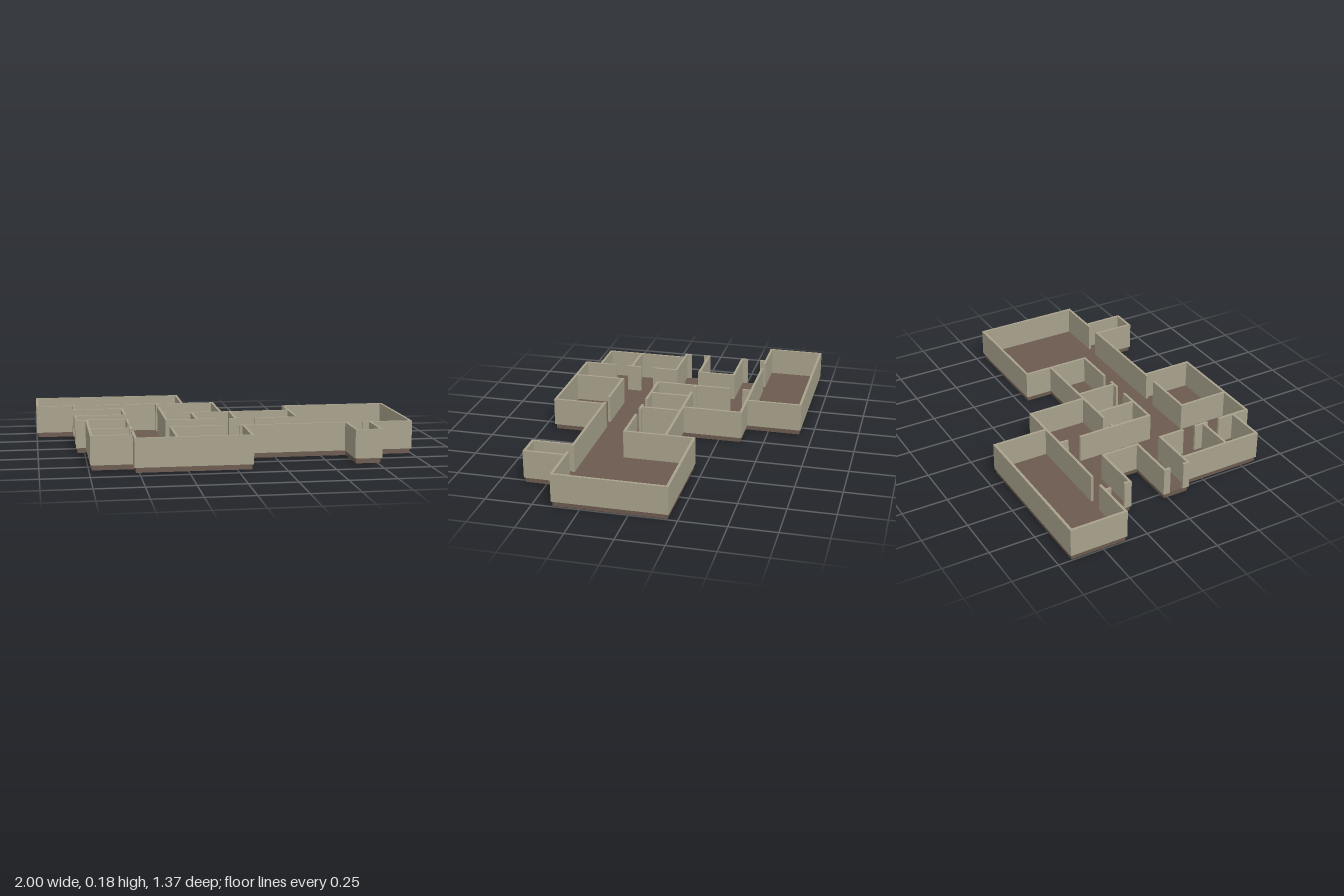
import * as THREE from 'three';

const FLOOR = 0.027, TOP = 0.18, T = 0.014;

// Outline of the floor slab as [x, z] corners
const outline = [
  [-0.993, -0.675], [-0.157, -0.675], [-0.157, -0.372], [0.021, -0.372], [0.021, -0.045],
  [0.411, -0.045], [0.411, -0.198], [0.993, -0.198], [0.993, 0.393], [0.768, 0.393],
  [0.768, 0.615], [0.637, 0.615], [0.637, 0.393], [0.078, 0.393], [0.078, 0.676],
  [-0.518, 0.676], [-0.518, 0.586], [-0.735, 0.586], [-0.735, 0.121], [-0.788, 0.121],
  [-0.788, -0.02], [-0.518, -0.02], [-0.518, -0.227], [-0.788, -0.227], [-0.788, -0.372],
  [-0.993, -0.372],
];

// Walls along x: z, start, end, then doorways as [start, end]
const wallsAlongX = [
  [-0.675, -0.993, -0.157],
  [-0.372, -0.993, 0.021, [-0.74, -0.66]],
  [-0.227, -0.788, -0.518],
  [-0.198, 0.411, 0.993],
  [-0.045, -0.307, 0.411, [-0.28, -0.21]],
  [-0.02, -0.788, -0.518],
  [0.121, -0.788, -0.518],
  [0.18, -0.307, 0.411, [-0.04, 0.035], [0.103, 0.177]],
  [0.393, -0.735, -0.518],
  [0.393, -0.307, 0.993, [-0.018, 0.056], [0.652, 0.726]],
  [0.586, -0.735, -0.518],
  [0.615, 0.637, 0.768],
  [0.676, -0.518, 0.078],
];

// Walls along z: x, start, end, then doorways as [start, end]
const wallsAlongZ = [
  [-0.993, -0.675, -0.372],
  [-0.788, -0.372, -0.227, [-0.338, -0.262]],
  [-0.788, -0.02, 0.121, [0.012, 0.09]],
  [-0.735, 0.121, 0.586],
  [-0.518, -0.227, -0.02],
  [-0.518, 0.121, 0.676, [0.265, 0.338], [0.42, 0.49]],
  [-0.307, -0.372, 0.18, [-0.32, -0.25]],
  [-0.307, 0.393, 0.676],
  [-0.157, -0.675, -0.372],
  [-0.142, -0.045, 0.18],
  [0.021, -0.372, -0.045],
  [0.072, -0.045, 0.18],
  [0.078, 0.393, 0.676],
  [0.411, -0.198, 0.18],
  [0.637, 0.393, 0.615],
  [0.768, 0.393, 0.615],
  [0.993, -0.198, 0.393],
];

export function createModel() {
  const model = new THREE.Group();
  const floorMaterial = new THREE.MeshStandardMaterial({ color: 0x6b5a4e });
  const wallMaterial = new THREE.MeshStandardMaterial({ color: 0xa8a28c });

  // Floor slab, extruded upwards from the ground
  const shape = new THREE.Shape(outline.map(([x, z]) => new THREE.Vector2(x, -z)));
  const slab = new THREE.ExtrudeGeometry(shape, { depth: FLOOR, bevelEnabled: false });
  slab.rotateX(-Math.PI / 2);
  const floor = new THREE.Mesh(slab, floorMaterial);
  floor.name = 'floor';
  model.add(floor);

  // Walls, split into solid pieces between full-height doorways
  const walls = new THREE.Group();
  walls.name = 'walls';
  model.add(walls);
  const addWall = ([across, start, end, ...doors], alongX) => {
    const stops = [start - T / 2, ...doors.flat(), end + T / 2];
    for (let i = 0; i < stops.length; i += 2) {
      const length = stops[i + 1] - stops[i];
      const middle = (stops[i] + stops[i + 1]) / 2;
      const height = TOP - FLOOR;
      const wall = new THREE.Mesh(
        new THREE.BoxGeometry(alongX ? length : T, height, alongX ? T : length), wallMaterial);
      wall.position.set(alongX ? middle : across, FLOOR + height / 2, alongX ? across : middle);
      wall.name = 'wall';
      walls.add(wall);
    }
  };
  wallsAlongX.forEach((w) => addWall(w, true));
  wallsAlongZ.forEach((w) => addWall(w, false));

  return model;
}
